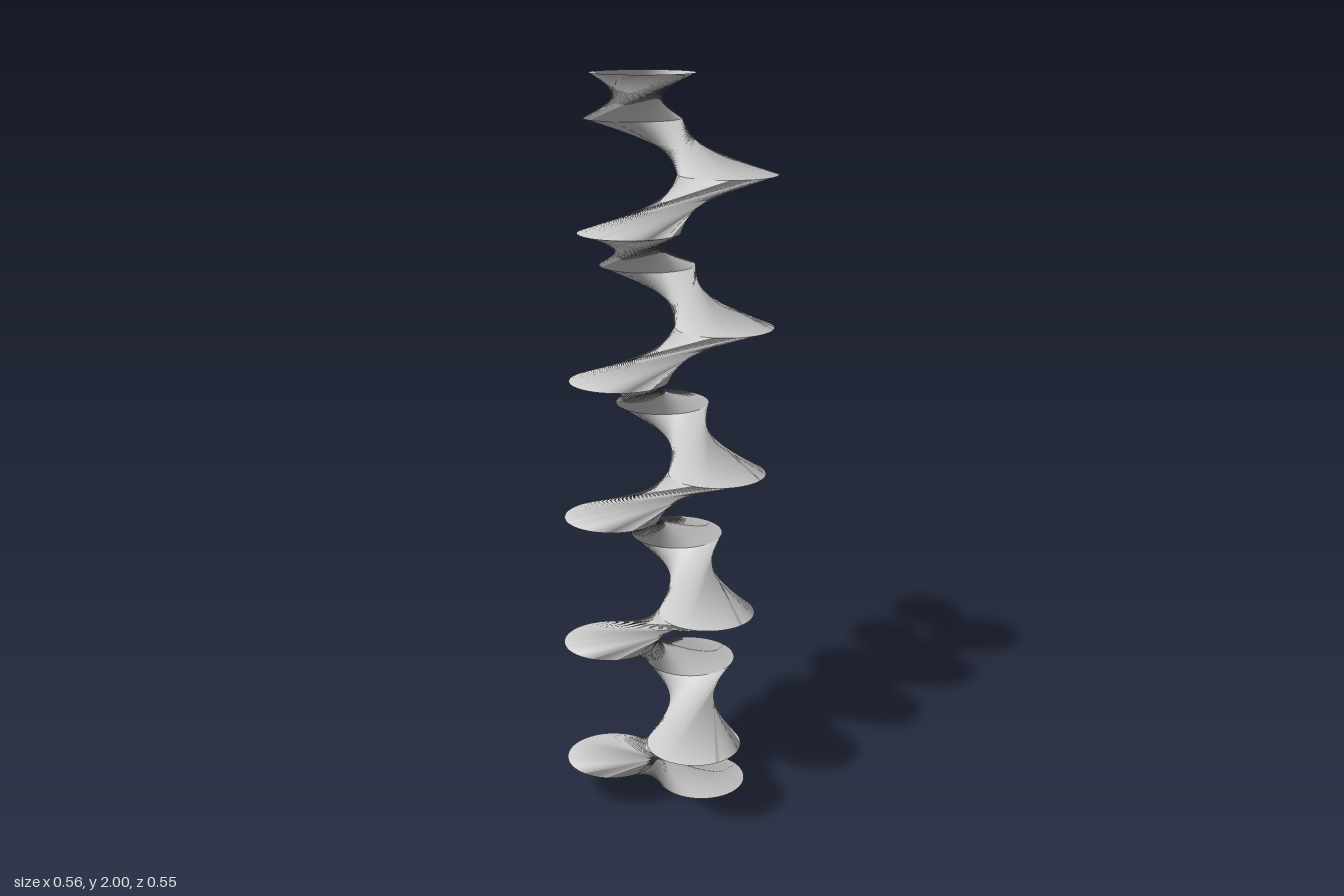
import * as THREE from 'three';

const LEVELS = 16;                          // twisted bands stacked up the height
const HEIGHT = 2;
const SIDES = 96;
const RADIUS = 0.126;                       // circular cross-section
const OFFSET = 0.153;                       // its distance from the twist axis
const TWIST = THREE.MathUtils.degToRad(125); // turn per level

// Points of the off-centre circle at one level, turned rigidly about the y axis
function ring(level) {
  const points = [];
  for (let i = 0; i <= SIDES; i++) {
    const a = (i % SIDES) / SIDES * Math.PI * 2;
    points.push(new THREE.Vector3(OFFSET + RADIUS * Math.cos(a), HEIGHT * level / LEVELS, RADIUS * Math.sin(a))
      .applyAxisAngle(new THREE.Vector3(0, 1, 0), TWIST * level));
  }
  return points;
}

// Pinched ruled band between two neighbouring circles, smooth within itself
function bandGeometry(level) {
  const geometry = new THREE.BufferGeometry().setFromPoints([...ring(level), ...ring(level + 1)]);
  const index = [];
  for (let i = 0; i < SIDES; i++) {
    const a = i, b = i + 1, c = i + SIDES + 1, d = c + 1;
    index.push(a, c, d, a, d, b);
  }
  geometry.setIndex(index);
  geometry.computeVertexNormals();
  // Match the normals across the seam
  const n = geometry.attributes.normal;
  for (const start of [0, SIDES + 1]) {
    const end = start + SIDES;
    const v = new THREE.Vector3().fromBufferAttribute(n, start)
      .add(new THREE.Vector3().fromBufferAttribute(n, end)).normalize();
    n.setXYZ(start, v.x, v.y, v.z);
    n.setXYZ(end, v.x, v.y, v.z);
  }
  return geometry;
}

export function createModel() {
  const model = new THREE.Group();
  model.name = 'twistedColumn';
  // Open tube, seen from inside at both ends
  const material = new THREE.MeshStandardMaterial({ color: 0xcccccc, side: THREE.DoubleSide });
  for (let level = 0; level < LEVELS; level++) {
    const band = new THREE.Mesh(bandGeometry(level), material);
    band.name = `twistedBand${level + 1}`;
    model.add(band);
  }
  return model;
}
